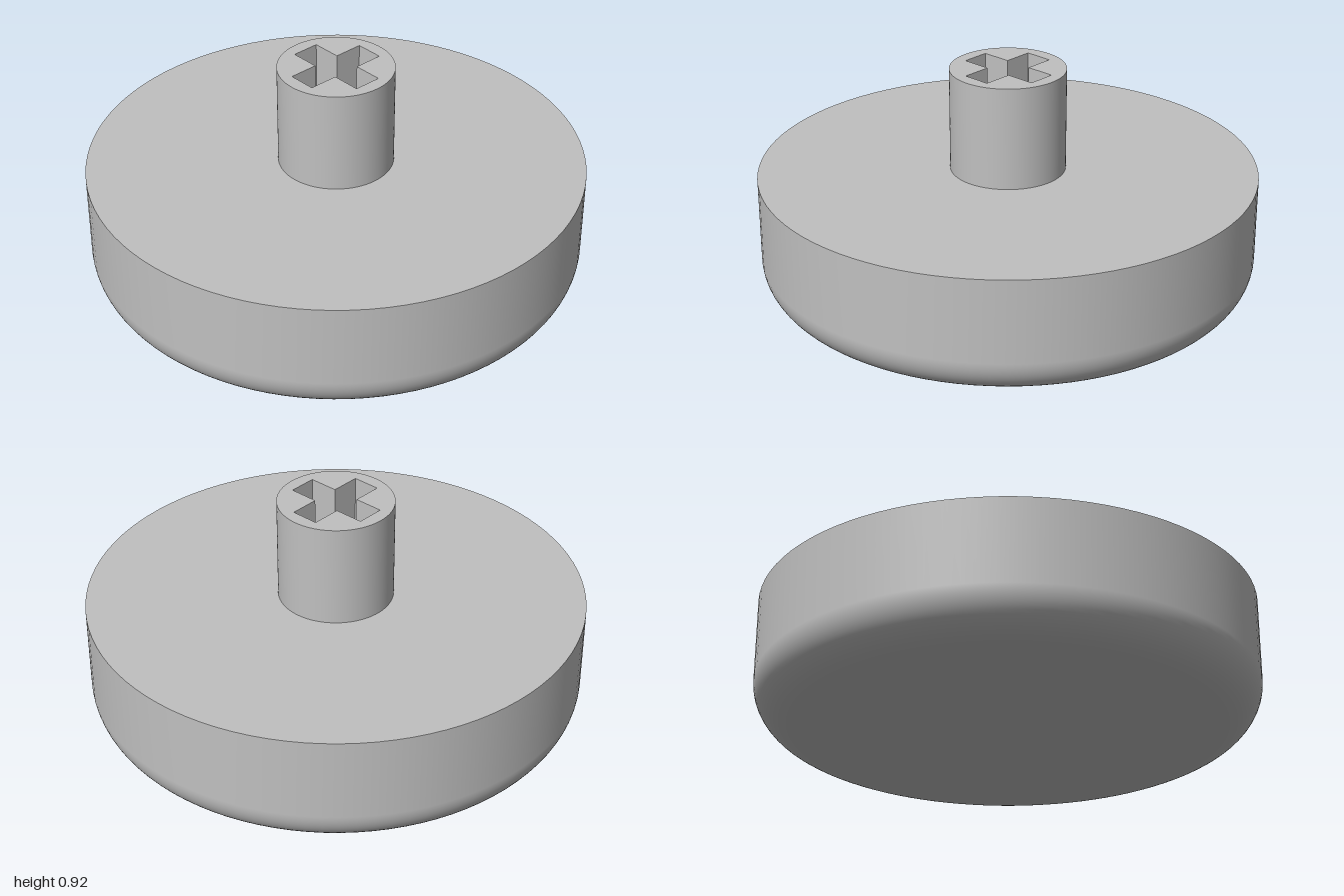
import * as THREE from 'three';
import { toCreasedNormals } from 'three/addons/utils/BufferGeometryUtils.js';

const BASE_TOP = 0.5, STEM_TOP = 0.92, STEM_RADIUS = 0.232, FILLET = 0.16;

// Plus-shaped outline: arm reach a, half width b
function crossPath(a, b) {
  const quarter = [[a, -b], [a, b], [b, b]];
  const points = [];
  for (let i = 0; i < 4; i++) {
    const c = Math.round(Math.cos(i * Math.PI / 2)), s = Math.round(Math.sin(i * Math.PI / 2));
    for (const [x, y] of quarter) points.push(new THREE.Vector2(x * c - y * s, x * s + y * c));
  }
  return new THREE.Path(points);
}

export function createModel() {
  const model = new THREE.Group();
  const grey = new THREE.MeshStandardMaterial({ color: 0xc0c0c0 });
  grey.name = 'light grey';

  const add = (name, geometry) => {
    const mesh = new THREE.Mesh(geometry, grey);
    mesh.name = name;
    model.add(mesh);
    return mesh;
  };

  // Round base with a filleted bottom edge
  const profile = [new THREE.Vector2(0, 0)];
  for (let i = 0; i <= 16; i++) {
    const t = (i / 16) * Math.PI / 2;
    profile.push(new THREE.Vector2(1 - FILLET + FILLET * Math.sin(t), FILLET - FILLET * Math.cos(t)));
  }
  profile.push(new THREE.Vector2(1, BASE_TOP));
  add('base', new THREE.LatheGeometry(profile, 96));

  // Flat top of the base
  add('baseTop', new THREE.CircleGeometry(1, 96).rotateX(-Math.PI / 2)).position.y = BASE_TOP;

  // Stem with a cross-shaped socket, turned slightly about its axis
  const ring = new THREE.Shape().absarc(0, 0, STEM_RADIUS, 0, Math.PI * 2);
  ring.holes.push(crossPath(0.178, 0.057));
  const stemGeometry = new THREE.ExtrudeGeometry(ring, {
    depth: STEM_TOP - BASE_TOP, bevelEnabled: false, curveSegments: 64,
  }).rotateX(-Math.PI / 2);
  const stem = add('stem', toCreasedNormals(stemGeometry, Math.PI / 6));
  stem.position.y = BASE_TOP;
  stem.rotation.y = 0.165;

  return model;
}
